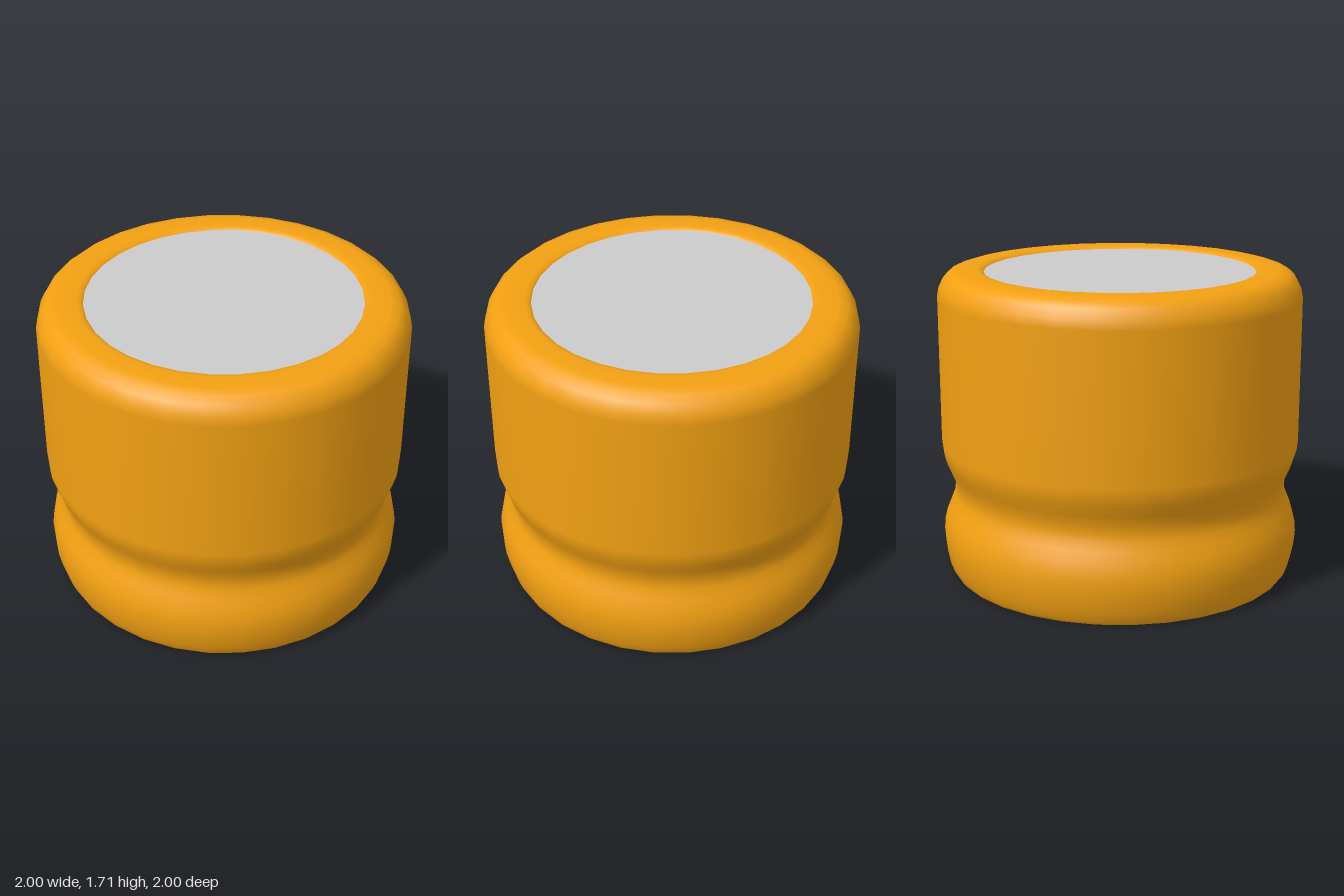
import * as THREE from 'three';

const SEGMENTS = 32;

export function createModel() {
  const group = new THREE.Group();
  const orange = new THREE.MeshStandardMaterial({ color: 0xf2a012 });
  const grey = new THREE.MeshStandardMaterial({ color: 0xcccccc });

  // Wall: rounded foot, waist groove, straight body, rolled rim [radius, height]
  const profile = [
    [0.945, 0], [0.96, 0.02], [0.98, 0.075], [0.995, 0.15], [1, 0.22], [0.995, 0.28],
    [0.98, 0.34], [0.955, 0.4], [0.935, 0.45], [0.93, 0.49], [0.935, 0.54], [0.955, 0.59],
    [0.98, 0.65], [0.995, 0.7], [1, 0.75], [1, 1.56], [0.99, 1.61], [0.965, 1.66],
    [0.93, 1.69], [0.88, 1.705], [0.78, 1.705], [0.755, 1.7], [0.745, 1.69],
  ].map(([r, y]) => new THREE.Vector2(r, y));
  const wall = new THREE.Mesh(new THREE.LatheGeometry(profile, SEGMENTS), orange);
  wall.name = 'wall';
  group.add(wall);

  // Flat discs closing the top and the bottom
  const addDisc = (name, radius, y, tilt) => {
    const disc = new THREE.Mesh(new THREE.CircleGeometry(radius, SEGMENTS), grey);
    disc.name = name;
    disc.rotation.x = tilt;
    disc.position.y = y;
    group.add(disc);
  };
  addDisc('topDisc', 0.745, 1.69, -Math.PI / 2);
  addDisc('bottomDisc', 0.945, 0, Math.PI / 2);

  return group;
}
